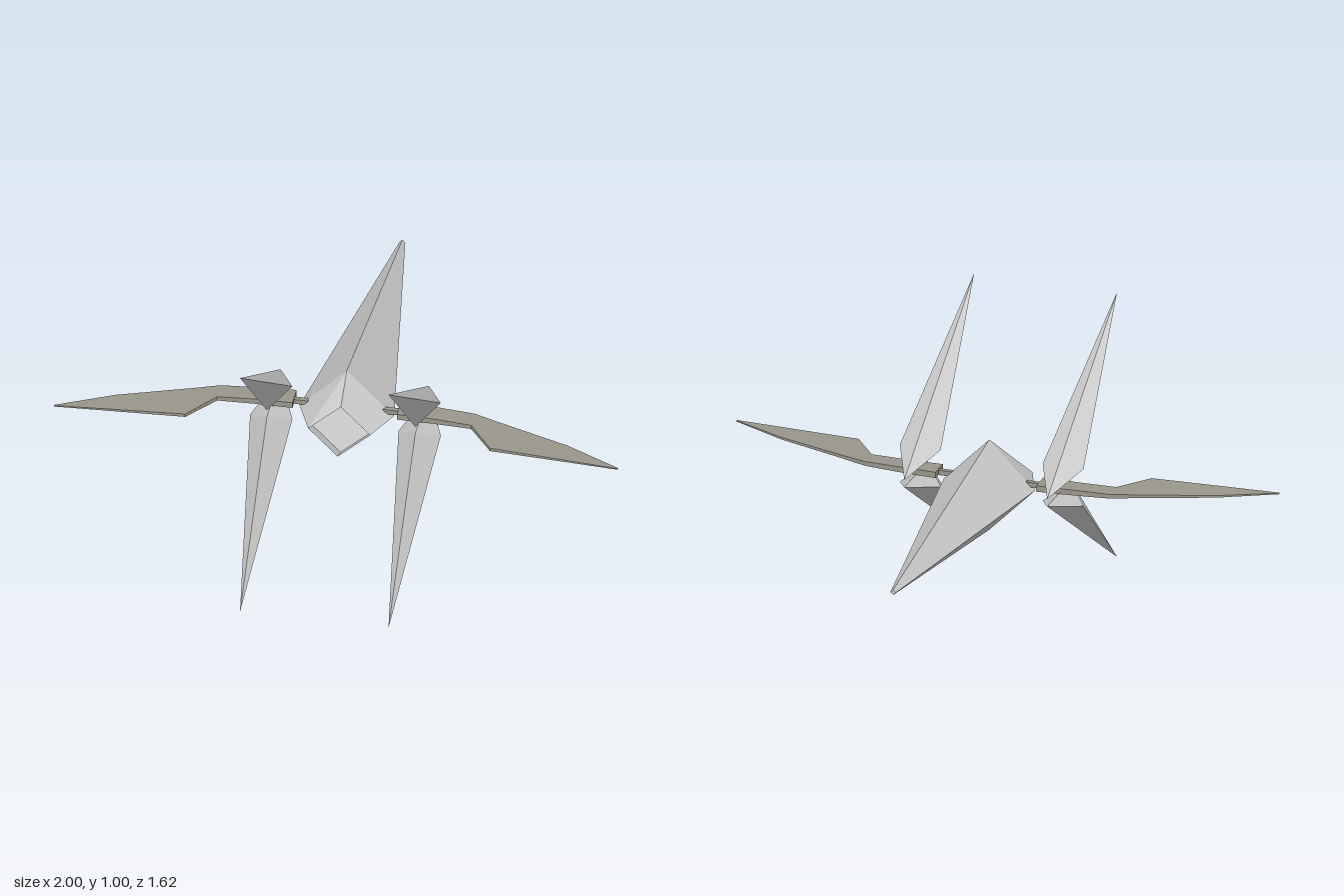
import * as THREE from 'three';
import { ConvexGeometry } from 'three/addons/geometries/ConvexGeometry.js';

const MID = 0.505; // height of the wing plane
const hull = new THREE.MeshStandardMaterial({ color: 0xcccccc, flatShading: true });
const wingMat = new THREE.MeshStandardMaterial({ color: 0x99968c, flatShading: true });

// Joins rings of four corners (counter-clockwise seen from the last ring) and caps both ends.
function loft(rings) {
  const pos = [];
  const quad = (a, b, c, d) => pos.push(...a, ...b, ...c, ...a, ...c, ...d);
  for (let r = 0; r < rings.length - 1; r++) {
    const p = rings[r], q = rings[r + 1];
    for (let i = 0; i < 4; i++) {
      const j = (i + 1) % 4;
      quad(p[i], p[j], q[j], q[i]);
    }
  }
  quad(...[...rings[0]].reverse());
  quad(...rings[rings.length - 1]);
  const g = new THREE.BufferGeometry();
  g.setAttribute('position', new THREE.Float32BufferAttribute(pos, 3));
  g.computeVertexNormals();
  return g;
}

function add(group, name, geometry, material) {
  const mesh = new THREE.Mesh(geometry, material);
  mesh.name = name;
  group.add(mesh);
  return mesh;
}

// Diamond section: half width, top, middle and bottom as [y, z]
const diamond = (w, [ty, tz], [my, mz], [by, bz]) =>
  [[w, my, mz], [0, ty, tz], [-w, my, mz], [0, by, bz]];

export function createModel() {
  const model = new THREE.Group();
  model.name = 'spacecraft';

  // Long body, blunt slanted front with a recessed panel
  const rim = diamond(0.11, [0.572, 0.32], [0.487, 0.35], [0.402, 0.38]);
  const panel = rim.map(([x, y, z]) => [x, y - 0.02, z - 0.055]);
  add(model, 'body', loft([
    diamond(0.01, [0.49, -0.815], [0.48, -0.815], [0.47, -0.815]),
    diamond(0.168, [0.65, 0.21], [0.48, 0.21], [0.31, 0.21]),
    rim,
    panel,
  ]), hull);

  for (const s of [1, -1]) {
    const side = new THREE.Group();
    side.name = s > 0 ? 'leftSide' : 'rightSide';
    model.add(side);

    // Upper and lower spike fins
    for (const v of [1, -1]) {
      const pt = (x, h, z) => new THREE.Vector3(s * x, MID + v * h, z);
      add(side, v > 0 ? 'upperFin' : 'lowerFin', new ConvexGeometry([
        pt(0.263, 0.014, 0.065), pt(0.263, 0.014, 0.315),
        pt(0.188, 0.07, 0.235), pt(0.338, 0.07, 0.235),
        pt(0.263, 0.5, 0.81),
      ]), hull);
    }

    // Thin swept wing: x, leading z, trailing z, half thickness
    const sections = [
      [0.185, 0.172, 0.25, 0.011], [0.32, 0.18, 0.252, 0.01], [0.45, 0.19, 0.26, 0.008],
      [0.54, 0.221, 0.38, 0.006], [0.8, 0.31, 0.397, 0.004], [1, 0.407, 0.411, 0.002],
    ];
    const rings = sections.map(([x, a, b, t]) => {
      const ring = [[t, a], [t, b], [-t, b], [-t, a]].map(([y, z]) => [s * x, MID + y, z]);
      return s > 0 ? ring : ring.reverse();
    });
    add(side, 'wing', loft(rings), wingMat);

    // Short strut joining wing and body
    add(side, 'strut', new THREE.BoxGeometry(0.07, 0.018, 0.018), wingMat)
      .position.set(s * 0.155, 0.502, 0.214);
  }
  return model;
}
